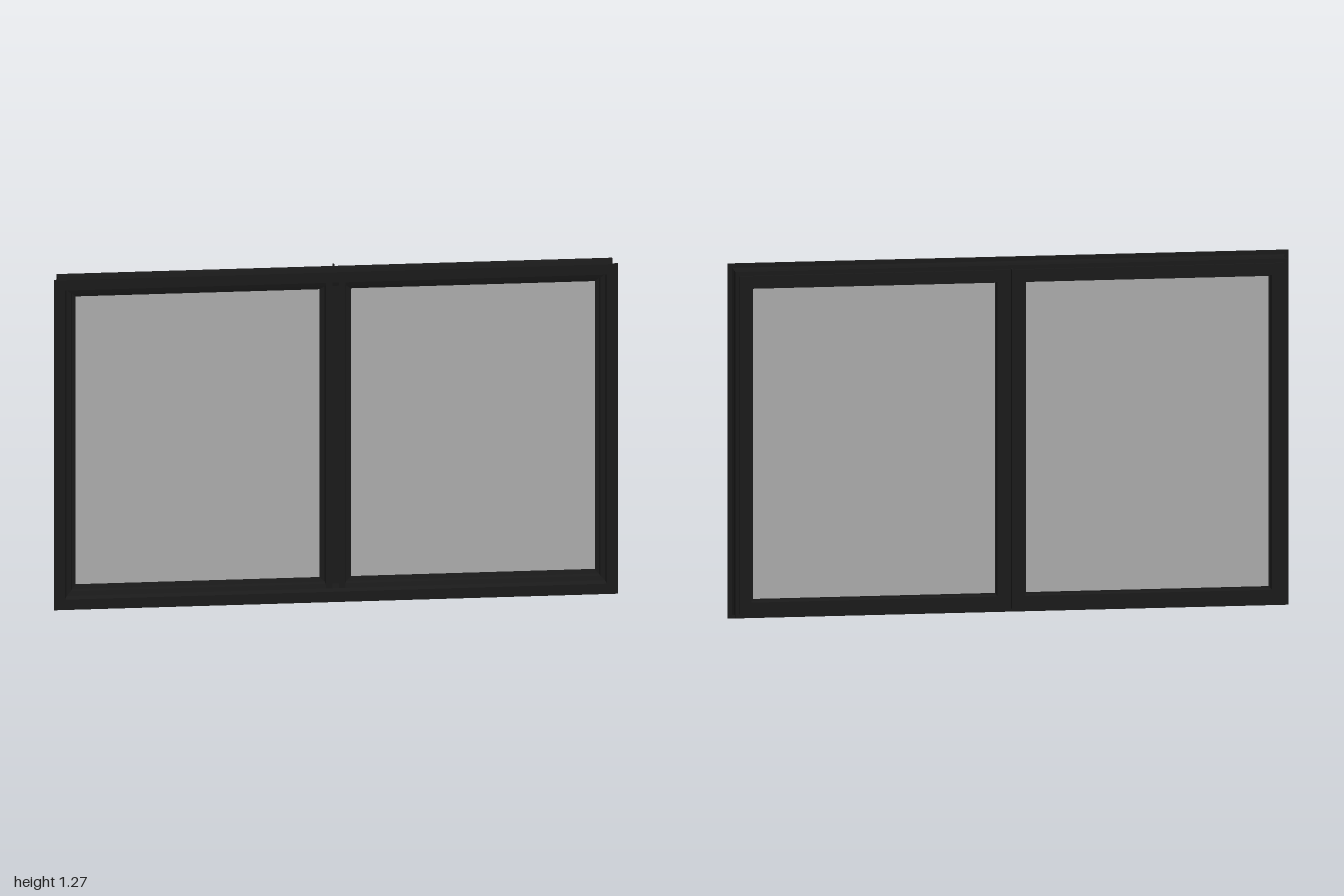
import * as THREE from 'three';

const W = 2, H = 1.275;

// Sweeps a closed (inset, z) profile round a rectangle with mitred corners
function mitredFrame(profile) {
  const corners = [[-1, 0], [1, 0], [1, 1], [-1, 1]];
  const point = ([cx, cy], [u, z]) => [cx * (W / 2 - u), cy ? H - u : u, z];
  const pos = [];
  corners.forEach((c, k) => {
    const d = corners[(k + 1) % 4];
    profile.forEach((p, i) => {
      const q = profile[(i + 1) % profile.length];
      const a = point(c, p), a2 = point(c, q), b = point(d, p), b2 = point(d, q);
      pos.push(...a, ...a2, ...b, ...b, ...a2, ...b2);
    });
  });
  const geo = new THREE.BufferGeometry();
  geo.setAttribute('position', new THREE.Float32BufferAttribute(pos, 3));
  geo.computeVertexNormals();
  return geo;
}

export function createModel() {
  const group = new THREE.Group();
  const dark = new THREE.MeshStandardMaterial({ color: 0x1a1a1a });
  const pane = new THREE.MeshStandardMaterial({ color: 0xaaaaaa });
  const add = (name, geo, mat, x = 0, y = 0, z = 0) => {
    const mesh = new THREE.Mesh(geo, mat);
    mesh.name = name;
    mesh.position.set(x, y, z);
    group.add(mesh);
  };

  // Outer frame: front flange, grooved outside, stepped back and glazing bead
  add('outerFrame', mitredFrame([
    [0, 0.067], [0, 0.06], [0.015, 0.06], [0.015, 0.048], [0.019, 0.046],
    [0.019, -0.014], [0.015, -0.016], [0.015, -0.023], [0.03, -0.023],
    [0.03, -0.032], [0.072, -0.032], [0.075, -0.005], [0.08, -0.005],
    [0.08, 0.03], [0.066, 0.035], [0.062, 0.045], [0.046, 0.05], [0.04, 0.067],
  ]), dark);

  // Central mullion with the same stepped section on both sides
  const half = [[0.012, 0.045], [0.012, 0.05], [0.034, 0.05], [0.038, 0.035],
    [0.055, 0.03], [0.055, -0.005], [0.052, -0.005], [0.05, -0.032]];
  const outline = [...half, ...half.map(([x, z]) => [-x, z]).reverse()];
  const section = new THREE.Shape(outline.map(([x, z]) => new THREE.Vector2(x, -z)));
  const mullion = new THREE.ExtrudeGeometry(section, { depth: H - 0.09, bevelEnabled: false });
  mullion.rotateX(-Math.PI / 2);
  add('mullion', mullion, dark, 0, 0.045, 0);

  // Thin fin standing off the back of the mullion
  add('backFin', new THREE.BoxGeometry(0.006, 1.22, 0.04), dark, 0, 0.64, -0.048);

  // Double glazed panes
  for (const side of [-1, 1]) {
    add(side > 0 ? 'leftGlass' : 'rightGlass',
      new THREE.BoxGeometry(0.875, 1.125, 0.028), pane, side * 0.4875, H / 2, 0.011);
  }
  return group;
}
